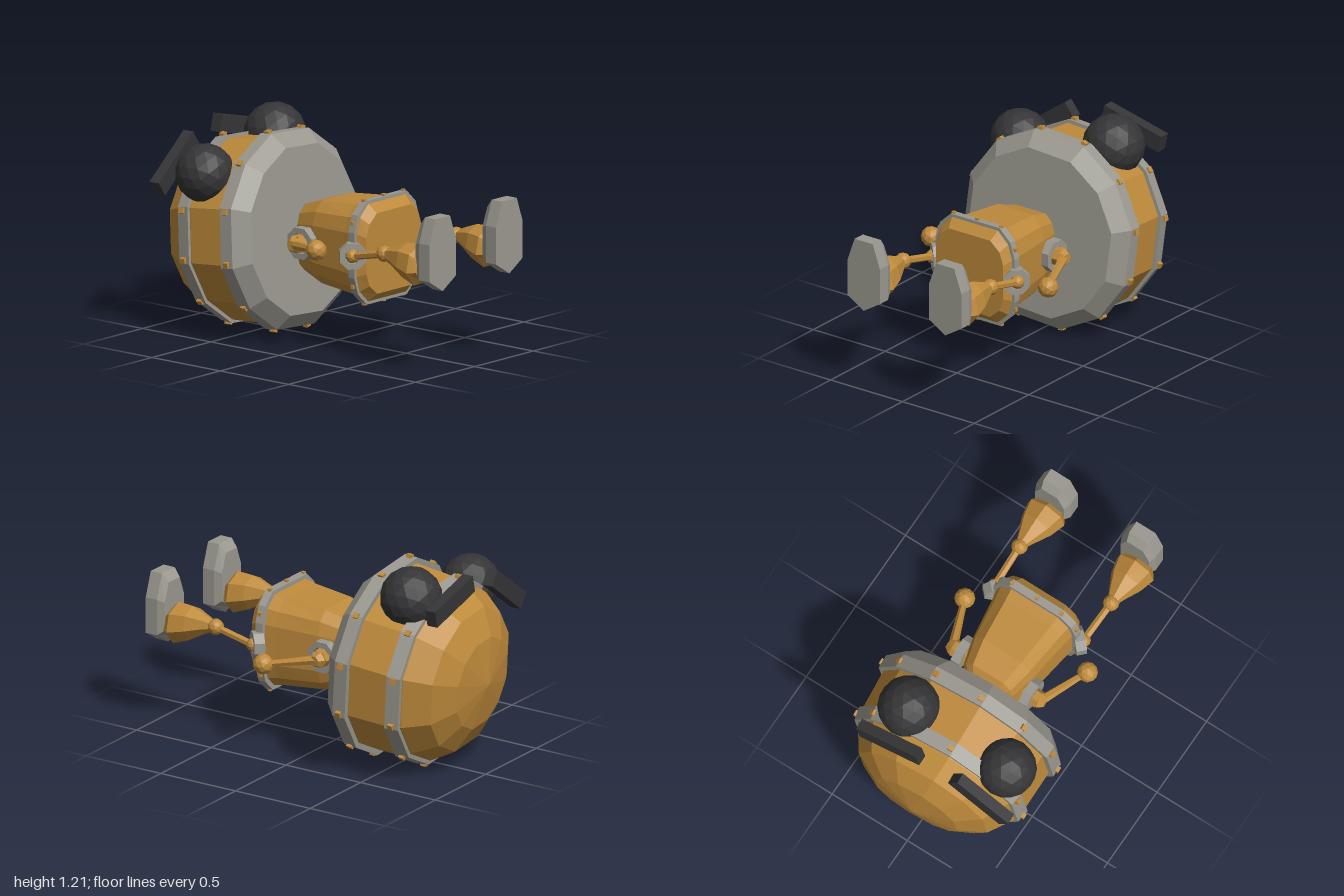
import * as THREE from 'three';

const makeMat = (name, color) => {
  const m = new THREE.MeshStandardMaterial({ color, flatShading: true });
  m.name = name;
  return m;
};

// Flat-shaded hull through scaled copies of a section; loops run [z, scaleX, scaleY, dx, dy] with z rising
function loft(section, loops) {
  const n = section.length, pos = [], idx = [];
  for (const [z, sx, sy = sx, dx = 0, dy = 0] of loops)
    for (const [x, y] of section) pos.push(x * sx + dx, y * sy + dy, z);
  for (let i = 0; i < loops.length - 1; i++)
    for (let j = 0; j < n; j++) {
      const k = (j + 1) % n, a = i * n + j, b = i * n + k, c = b + n, d = a + n;
      idx.push(a, b, c, a, c, d);
    }
  const e = (loops.length - 1) * n;
  for (let j = 1; j < n - 1; j++) idx.push(0, j + 1, j, e, e + j, e + j + 1);
  const g = new THREE.BufferGeometry();
  g.setAttribute('position', new THREE.Float32BufferAttribute(pos, 3));
  g.setIndex(idx);
  const flat = g.toNonIndexed();
  flat.computeVertexNormals();
  return flat;
}

const ngon = (n, start = 0) => Array.from({ length: n }, (_, i) => {
  const a = start + (i / n) * Math.PI * 2;
  return [Math.cos(a), Math.sin(a)];
});

// Octagonal socket ring facing +z
function socketGeometry(outer, inner, depth) {
  const pts = (r) => ngon(8, Math.PI / 8).map(([x, y]) => new THREE.Vector2(x * r, y * r));
  const shape = new THREE.Shape(pts(outer));
  shape.holes.push(new THREE.Path(pts(inner)));
  return new THREE.ExtrudeGeometry(shape, { depth, bevelEnabled: false }).translate(0, 0, -depth / 2);
}

export function createModel() {
  const root = new THREE.Group();
  root.name = 'robot';
  const brass = makeMat('brass', 0xbe8a3b);
  const steel = makeMat('steel', 0x9a988f);
  const dark = makeMat('dark', 0x353537);

  const add = (parent, name, geo, mat, x = 0, y = 0, z = 0) => {
    const m = new THREE.Mesh(geo, mat);
    m.name = name;
    m.position.set(x, y, z);
    parent.add(m);
    return m;
  };
  const ball = (name, r, mat, p, detail = 1) =>
    add(root, name, new THREE.IcosahedronGeometry(r, detail), mat, ...p);
  const rod = (name, a, b, ra, rb, sides = 6) => {
    const A = new THREE.Vector3(...a), B = new THREE.Vector3(...b);
    const dir = B.clone().sub(A);
    const m = add(root, name, new THREE.CylinderGeometry(rb, ra, dir.length(), sides), brass);
    m.position.copy(A).add(B).multiplyScalar(0.5);
    m.quaternion.setFromUnitVectors(new THREE.Vector3(0, 1, 0), dir.normalize());
    return m;
  };

  // Head: a rounded-square barrel, slightly tilted, dome towards -z
  const head = new THREE.Group();
  head.name = 'head';
  head.position.set(0, 0.565, -0.37);
  head.rotation.set(-0.095, 0.044, -0.07);
  root.add(head);
  const headSection = [];
  for (let k = 0; k < 4; k++)
    for (const d of [-17, 17, 45]) {
      const a = THREE.MathUtils.degToRad(k * 90 + d);
      headSection.push([Math.cos(a), Math.sin(a)]);
    }
  add(head, 'headShell', loft(headSection, [
    [-0.635, 0], [-0.59, 0.27], [-0.51, 0.42], [-0.37, 0.51], [-0.28, 0.53], [-0.03, 0.54],
  ]), brass);
  add(head, 'chinCollar', loft(headSection, [[-0.04, 0.572], [0.04, 0.572], [0.12, 0.49]]), steel);
  add(head, 'browBand', loft(headSection, [[-0.365, 0.535], [-0.285, 0.55]]), steel);
  for (const [z, r] of [[0, 0.568], [-0.325, 0.54]])
    for (let i = 0; i < 12; i++) {
      const a = THREE.MathUtils.degToRad(15 + 30 * i);
      const b = add(head, 'headBolt', new THREE.BoxGeometry(0.03, 0.032, 0.032), brass,
        Math.cos(a) * r, Math.sin(a) * r, z);
      b.rotation.z = a;
    }

  // Eyes and eyebrows
  ball('rightEye', 0.168, dark, [-0.41, 0.915, -0.62], 2);
  ball('leftEye', 0.176, dark, [0.22, 1.028, -0.65], 2);
  const browGeo = new THREE.BoxGeometry(0.4, 0.1, 0.065);
  add(root, 'rightEyebrow', browGeo, dark, -0.395, 0.935, -0.857).rotation.set(0, 0.08, 0.63);
  add(root, 'leftEyebrow', browGeo, dark, 0.185, 1.045, -0.887).rotation.set(0, 0.025, -0.24);

  // Torso with a bolted belt
  const torso = new THREE.Group();
  torso.name = 'torso';
  torso.position.set(0.012, 0.563, 0);
  root.add(torso);
  const quarter = [[0.275, 0.13], [0.245, 0.225], [0.17, 0.295]];
  const mirrorX = quarter.map(([x, y]) => [-x, y]).reverse();
  const upper = [...quarter, ...mirrorX];
  const torsoSection = [...upper, ...upper.map(([x, y]) => [-x, -y])];
  add(torso, 'torsoShell', loft(torsoSection, [
    [-0.225, 0.24], [-0.21, 0.42], [-0.165, 0.6, 0.64], [-0.02, 0.74, 0.8],
    [0.24, 0.87], [0.35, 0.94], [0.4, 0.85, 0.78],
  ]), brass);
  add(torso, 'belt', loft(torsoSection, [[0.302, 0.99], [0.348, 1]]), steel);
  for (const s of [1, -1])
    for (const [x, y] of [[0, 0.296], [0.165, 0.292], [-0.165, 0.292], [0.262, 0.18], [-0.262, 0.18]])
      add(torso, 'beltBolt', new THREE.BoxGeometry(0.02, 0.02, 0.02), brass, x, s * y, 0.325);
  rod('neck', [0.005, 0.572, -0.18], [0.005, 0.572, -0.28], 0.07, 0.07, 8);

  // Foot outline, pointed at the heel
  const footSection = [
    [0.063, 0.21], [-0.063, 0.21], [-0.113, 0.07], [-0.113, -0.14], [0, -0.21], [0.113, -0.14], [0.113, 0.07],
  ];

  // Limbs on both sides
  for (const s of [1, -1]) {
    const side = s > 0 ? 'left' : 'right';
    const cx = 0.012;

    // Arm
    const shoulder = add(root, side + 'ShoulderSocket', socketGeometry(0.095, 0.06, 0.055), steel,
      cx + s * 0.225, 0.565, -0.075);
    shoulder.rotation.y = s * Math.PI / 2;
    rod(side + 'Shoulder', [cx + s * 0.14, 0.565, -0.075], [cx + s * 0.285, 0.565, -0.08], 0.058, 0.052);
    rod(side + 'ShoulderTip', [cx + s * 0.285, 0.565, -0.08], [cx + s * 0.32, 0.565, -0.075], 0.052, 0.03);
    const hand = s > 0 ? [0.415, 0.515, 0.21] : [-0.41, 0.6, 0.195];
    rod(side + 'Arm', [cx + s * 0.295, 0.565, -0.07], hand, 0.028, 0.018);
    ball(side + 'Hand', 0.059, brass, hand);

    // Leg
    const hip = add(root, side + 'HipSocket', socketGeometry(0.08, 0.045, 0.06), steel,
      cx + s * 0.275, 0.565, 0.335);
    hip.rotation.y = s * Math.PI / 4;
    const hipPos = [cx + s * 0.295, 0.567, 0.35], knee = [s > 0 ? 0.308 : -0.3, 0.622, 0.6];
    ball(side + 'HipBall', 0.04, brass, hipPos);
    rod(side + 'Thigh', hipPos, knee, 0.022, 0.022);
    ball(side + 'Knee', 0.047, brass, knee);
    const fx = s > 0 ? 0.297 : -0.27;
    const sx = knee[0];
    add(root, side + 'Calf', loft(ngon(7, Math.PI / 2), [
      [0.62, 0.035, 0.035, sx, 0.622], [0.665, 0.055, 0.055, sx - s * 0.003, 0.62],
      [0.76, 0.1, 0.1, sx - s * 0.006, 0.61], [0.855, 0.124, 0.12, sx - s * 0.008, 0.595],
      [0.9, 0.095, 0.08, sx - s * 0.01, 0.59],
    ]), brass);
    add(root, side + 'Foot', loft(footSection, [[0.885, 0.85, 0.78], [0.925, 1], [1, 1]]), steel, fx, 0.675, 0);
  }
  return root;
}
